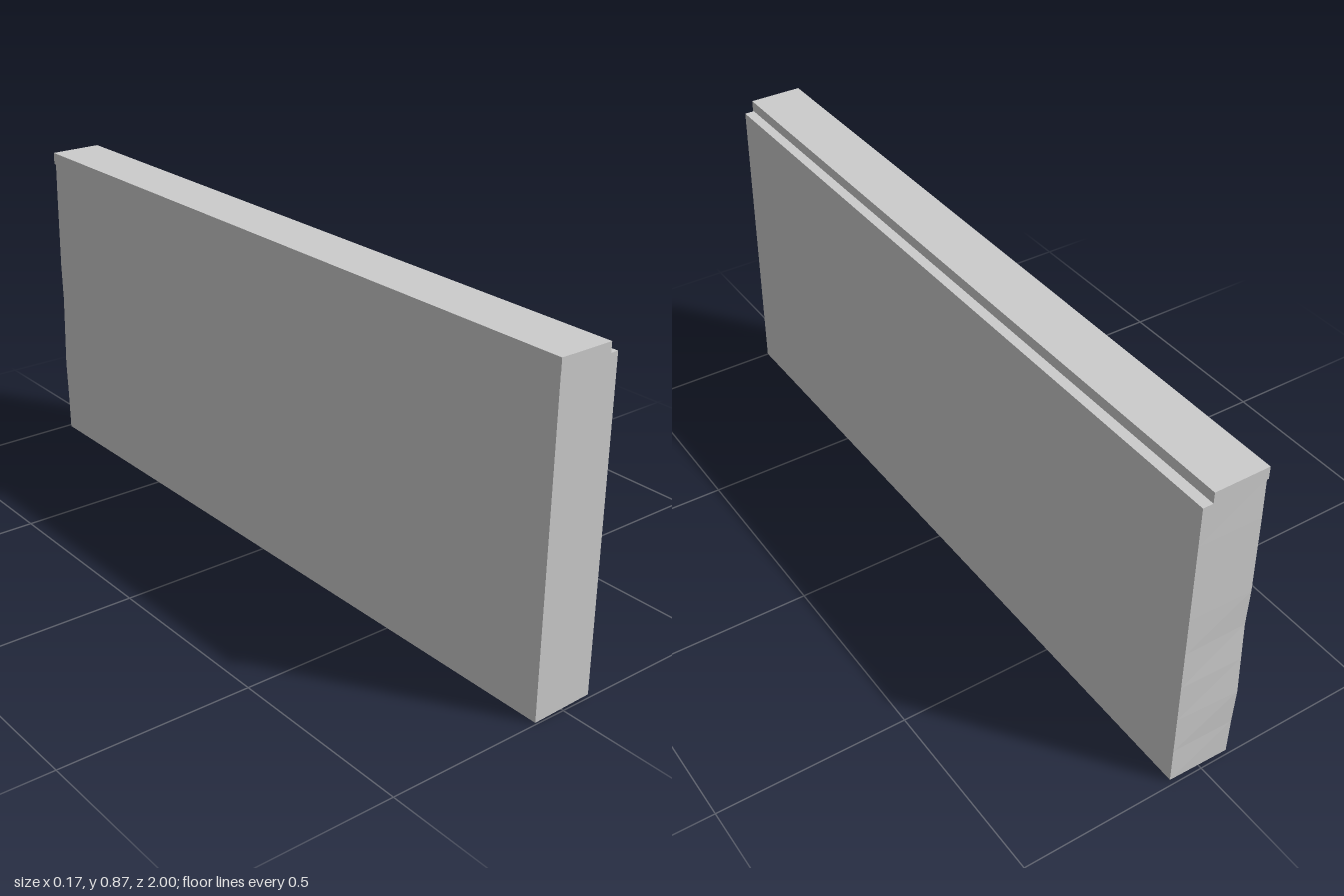
import * as THREE from 'three';

const material = new THREE.MeshStandardMaterial({ color: 0xcccccc, flatShading: true });

// Box given by its minimum and maximum corners
function block(name, min, max, rows = 1) {
  const size = max.map((v, i) => v - min[i]);
  const geometry = new THREE.BoxGeometry(...size, 1, rows, 1);
  geometry.translate(...max.map((v, i) => (v + min[i]) / 2));
  const mesh = new THREE.Mesh(geometry, material);
  mesh.name = name;
  return mesh;
}

export function createModel() {
  const group = new THREE.Group();
  group.name = 'cappedWall';

  // Wall slab, with a slightly worn rear corner and a faintly tilted underside
  const rows = 8, top = 0.838;
  const wear = [0, 0.003, 0.008, 0.004, 0, 0.004, 0.003, 0.002, 0];
  const wall = block('wall', [-0.083, 0, -0.99], [0.085, top, 0.995], rows);
  const p = wall.geometry.attributes.position;
  for (let i = 0; i < p.count; i++) {
    const row = Math.round((p.getY(i) / top) * rows);
    if (p.getX(i) < 0 && p.getZ(i) < 0) p.setZ(i, p.getZ(i) - wear[row]);
    if (p.getX(i) > 0 && row === 0) p.setY(i, 0.005);
  }
  wall.geometry.computeVertexNormals();

  // Narrower coping strip, set towards one side and overhanging it
  const coping = block('coping', [-0.088, 0.834, -0.99], [0.058, 0.867, 1.0]);

  group.add(wall, coping);
  return group;
}
